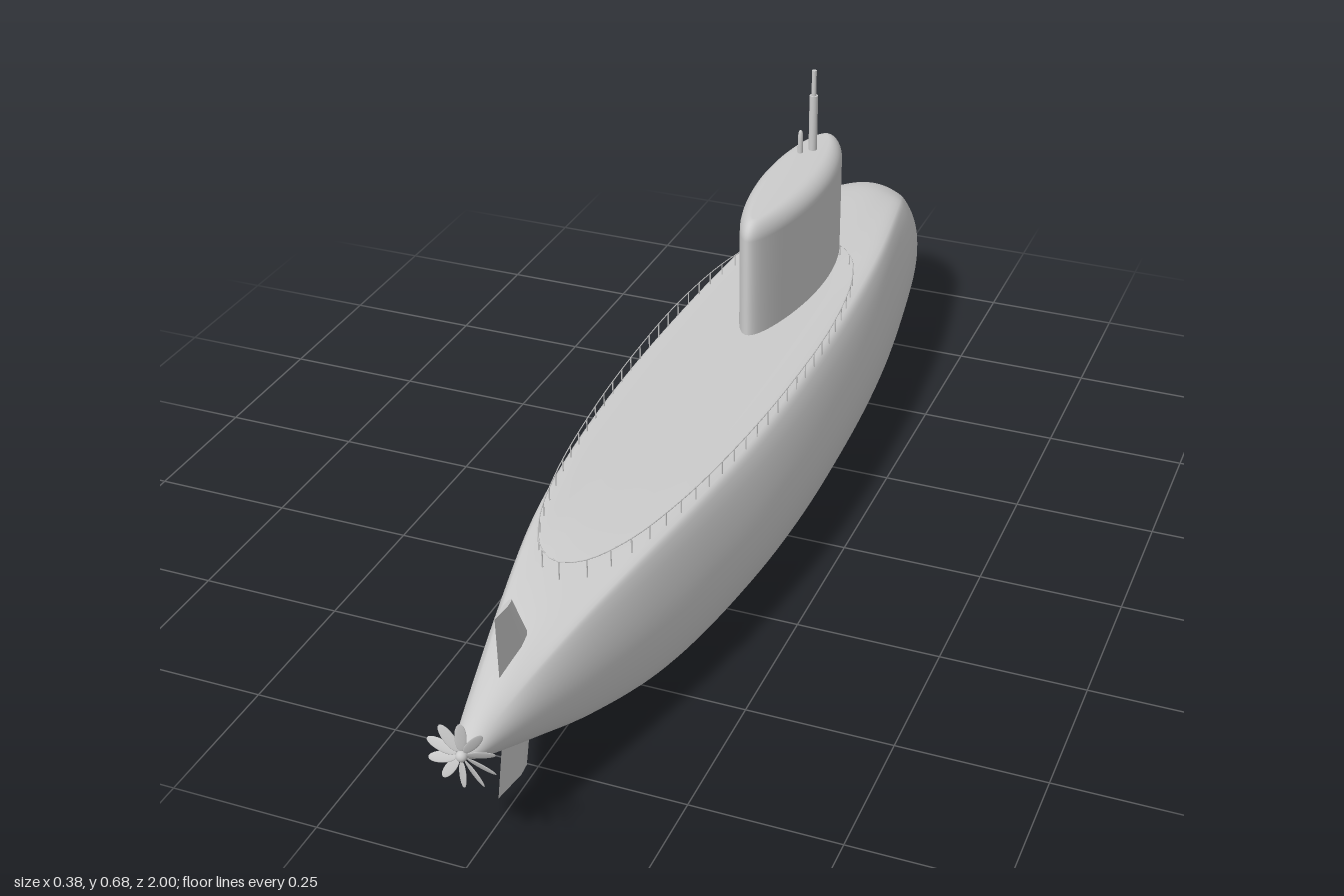
import * as THREE from 'three';
import { toCreasedNormals } from 'three/addons/utils/BufferGeometryUtils.js';

const material = new THREE.MeshStandardMaterial({ color: 0xcccccc, side: THREE.DoubleSide });

function add(parent, name, geometry, x = 0, y = 0, z = 0) {
  const mesh = new THREE.Mesh(geometry, material);
  mesh.name = name;
  mesh.position.set(x, y, z);
  parent.add(mesh);
  return mesh;
}

// Skin a list of closed rings of [x, y, z] points
function loft(rings) {
  const n = rings[0].length, index = [];
  for (let i = 0; i < rings.length - 1; i++) {
    for (let j = 0; j < n; j++) {
      const a = i * n + j, b = i * n + (j + 1) % n;
      index.push(a, b, a + n, b, b + n, a + n);
    }
  }
  const geometry = new THREE.BufferGeometry();
  geometry.setAttribute('position', new THREE.Float32BufferAttribute(rings.flat(2), 3));
  geometry.setIndex(index);
  geometry.computeVertexNormals();
  return geometry;
}

// Hull: flat-decked midship section that melts into ellipses at both ends
function hullGeometry() {
  const half = [[0, -1], [0.4, -0.96], [0.68, -0.87], [0.86, -0.72], [0.97, -0.38], [1, 0.05],
    [0.93, 0.55], [0.82, 0.91], [0.75, 0.99], [0.4, 1], [0, 1]];
  const loop = [...half, ...half.slice(1, -1).reverse().map(([x, y]) => [-x, y])];
  const section = new THREE.CatmullRomCurve3(
    loop.map(([x, y]) => new THREE.Vector3(x, y, 0)), true).getPoints(80).slice(0, -1);
  // z, half width, top, bottom, squareness
  const stations = [
    [-1, 0.001, 0.181, 0.179, 0], [-0.992, 0.035, 0.213, 0.145, 0], [-0.97, 0.065, 0.24, 0.105, 0],
    [-0.93, 0.09, 0.269, 0.068, 0.1], [-0.88, 0.11, 0.29, 0.038, 0.3], [-0.8, 0.128, 0.299, 0.02, 0.6],
    [-0.6, 0.157, 0.3, 0.011, 1], [-0.4, 0.178, 0.3, 0.007, 1], [-0.2, 0.188, 0.3, 0.004, 1],
    [0, 0.19, 0.3, 0.002, 1], [0.2, 0.181, 0.3, 0.005, 1], [0.4, 0.157, 0.3, 0.012, 1],
    [0.55, 0.13, 0.297, 0.027, 0.9], [0.7, 0.096, 0.284, 0.065, 0.6], [0.82, 0.065, 0.262, 0.113, 0.3],
    [0.92, 0.038, 0.236, 0.158, 0], [0.97, 0.021, 0.218, 0.184, 0], [0.985, 0.002, 0.204, 0.2, 0]];
  const spline = new THREE.CubicInterpolant(stations.map((s, i) => i), stations.flat(), 5);
  const rings = [], steps = 102;
  for (let i = 0; i <= steps; i++) {
    const [z, w, top, bottom, k] = spline.evaluate(i / steps * (stations.length - 1));
    rings.push(section.map((p) => {
      const r = Math.hypot(p.x, p.y), blend = k + (1 - k) / r;
      return [p.x * blend * w, (top + bottom) / 2 + p.y * blend * (top - bottom) / 2, z];
    }));
  }
  return loft(rings);
}

// Sail: lens-shaped plan with a rounded top edge
function sailGeometry() {
  const r = 0.032, levels = [[0.28, 0], [0.35, 0], [0.42, 0], [0.52 - r, 0]];
  for (let i = 1; i <= 8; i++) {
    const a = i / 8 * Math.PI / 2;
    levels.push([0.52 - r + r * Math.sin(a), r * (1 - Math.cos(a))]);
  }
  levels.push([0.521, 0.05], [0.521, 0.0629]);
  return loft(levels.map(([y, inset]) => Array.from({ length: 64 }, (_, j) => {
    const a = j / 64 * Math.PI * 2, c = Math.cos(a), s = Math.sin(a);
    const w = 0.063 - inset, l = 0.229 * (inset > r ? (w / 0.063) * 1.75 : 1 - inset / 0.229);
    const fullness = 1 + 0.12 * s - 0.12 * s * s;
    return [w * c * fullness, y, -0.393 - l * s];
  })));
}

// Tail fin: thin foil between two levels of [y, leading z, trailing z, half thickness]
function finGeometry(levels) {
  const foil = [[1, 0.35], [0.7, 0.1], [0, 0], [-0.7, 0.1], [-1, 0.35], [0, 1]];
  const rings = levels.map(([y, z0, z1, t]) => foil.map(([x, u]) => [x * t, y, z0 + (z1 - z0) * u]));
  const cap = ([y, z0, z1]) => foil.map(() => [0, y, (z0 + z1) / 2]);
  return toCreasedNormals(loft([cap(levels[0]), ...rings, cap(levels[1])]), 0.6);
}

function createPropeller() {
  const propeller = new THREE.Group();
  propeller.name = 'propeller';
  propeller.position.set(0, 0.204, 0.991);
  add(propeller, 'propellerHub', new THREE.SphereGeometry(0.009, 20, 14));
  const blades = 10;
  for (let i = 0; i < blades; i++) {
    const arm = new THREE.Group();
    arm.name = 'bladeArm';
    arm.rotation.z = i / blades * Math.PI * 2;
    const blade = add(arm, 'propellerBlade', new THREE.SphereGeometry(1, 14, 10), 0, 0.033, 0);
    blade.scale.set(0.0088, 0.0245, 0.0012);
    blade.rotation.y = 0.45;
    propeller.add(arm);
  }
  return propeller;
}

// Deck rail: one wire around the after deck, carried on thin posts
function createRailing() {
  const railing = new THREE.Group();
  railing.name = 'railing';
  const side = [[0.055, -0.53], [0.09, -0.49], [0.122, -0.4], [0.145, -0.22], [0.147, 0],
    [0.135, 0.22], [0.11, 0.42], [0.075, 0.56], [0.035, 0.632], [0, 0.65]];
  const plan = [...side, ...side.slice(0, -1).reverse().map(([x, z]) => [-x, z])];
  const path = new THREE.CatmullRomCurve3(plan.map(([x, z]) => new THREE.Vector3(x, 0.322, z)));
  add(railing, 'railWire', new THREE.TubeGeometry(path, 120, 0.001, 5));
  const post = new THREE.CylinderGeometry(0.0012, 0.0012, 0.036, 6);
  for (const p of path.getSpacedPoints(56)) add(railing, 'railPost', post, p.x, 0.304, p.z);
  return railing;
}

export function createModel() {
  const model = new THREE.Group();
  model.name = 'submarine';
  add(model, 'hull', hullGeometry());
  add(model, 'sail', sailGeometry());

  // Masts on the sail
  add(model, 'periscopeLower', new THREE.CylinderGeometry(0.008, 0.008, 0.12, 20), 0, 0.57, -0.515);
  add(model, 'periscopeUpper', new THREE.CylinderGeometry(0.0045, 0.0045, 0.06, 16), 0, 0.65, -0.515);
  const mast = [[0.005, 0.51], [0.005, 0.55], [0.0042, 0.56], [0.0025, 0.565], [0, 0.566]];
  add(model, 'shortMast', new THREE.LatheGeometry(
    mast.map(([x, y]) => new THREE.Vector2(x, y)), 16), -0.017, 0, -0.493);

  // Tail fins
  add(model, 'upperFin', finGeometry([[0.23, 0.745, 0.862, 0.007], [0.36, 0.812, 0.868, 0.0035]]));
  add(model, 'lowerFin', finGeometry([[0.045, 0.79, 0.887, 0.008], [0.16, 0.755, 0.86, 0.007]]));

  model.add(createPropeller(), createRailing());
  return model;
}
